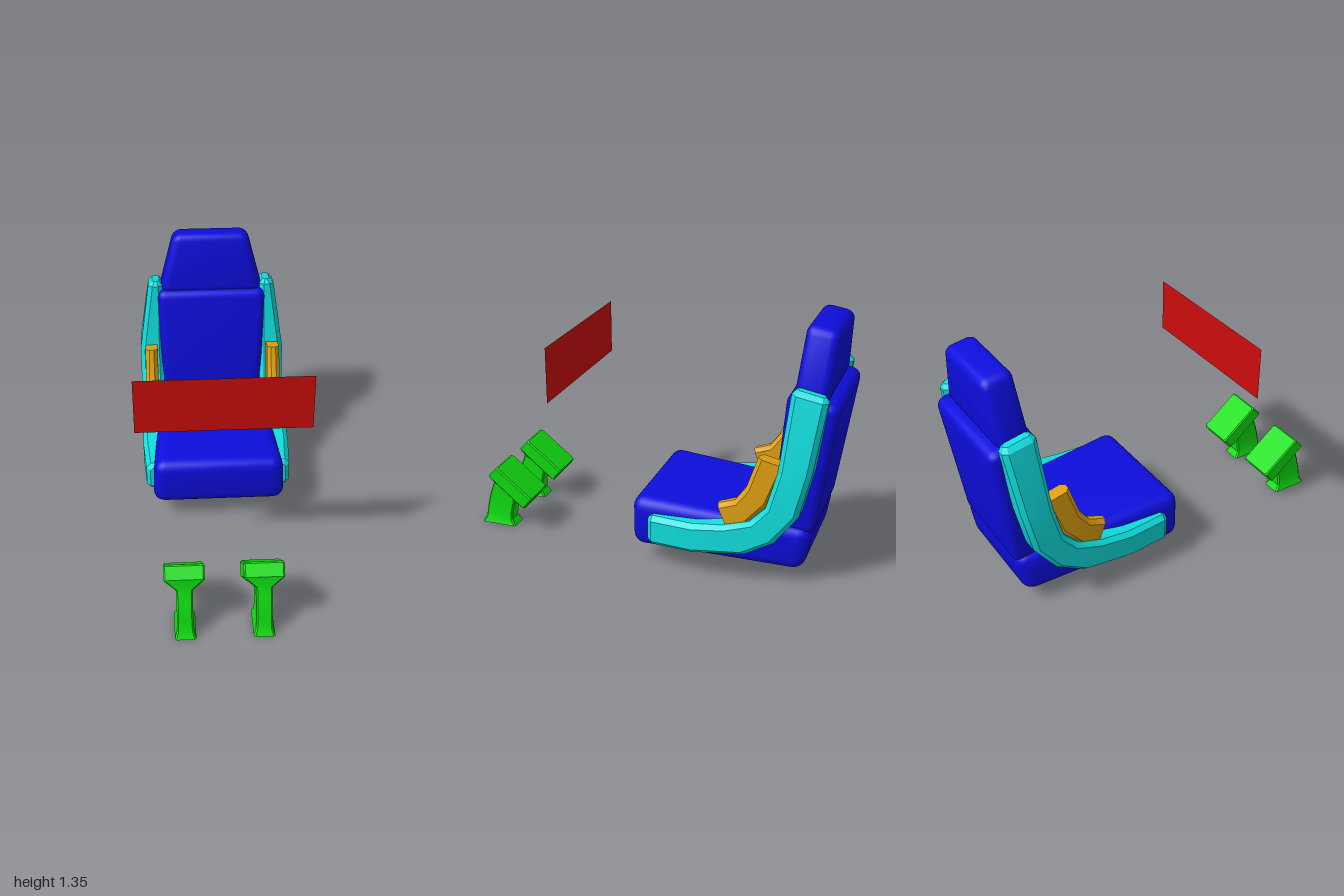
import * as THREE from 'three';
import { mergeVertices, toCreasedNormals } from 'three/addons/utils/BufferGeometryUtils.js';
import { RoundedBoxGeometry } from 'three/addons/geometries/RoundedBoxGeometry.js';

const BLUE = 0x0d0ddd, CYAN = 0x10dede, ORANGE = 0xdea010, GREEN = 0x10de10, RED = 0xcc0d0d;

function part(name, geometry, color, side = THREE.FrontSide) {
  const mesh = new THREE.Mesh(geometry, new THREE.MeshStandardMaterial({ color, side }));
  mesh.name = name;
  return mesh;
}

// Rounded box warped to a side quad: each corner is [z, y, half width]
function pad(frontTop, backTop, backBottom, frontBottom, radius) {
  const w = frontTop[2] * 2;
  const h = Math.hypot(frontTop[0] - frontBottom[0], frontTop[1] - frontBottom[1]);
  const d = Math.hypot(frontTop[0] - backTop[0], frontTop[1] - backTop[1]);
  let geo = new RoundedBoxGeometry(w, h, d, 3, radius);
  const pos = geo.attributes.position;
  const mix = THREE.MathUtils.lerp;
  for (let i = 0; i < pos.count; i++) {
    const s = pos.getX(i) / w * 2, t = pos.getY(i) / h + 0.5, f = pos.getZ(i) / d + 0.5;
    const at = k => mix(mix(backBottom[k], frontBottom[k], f), mix(backTop[k], frontTop[k], f), t);
    pos.setXYZ(i, s * at(2), at(1), at(0));
  }
  geo.deleteAttribute('uv');
  geo.deleteAttribute('normal');
  geo = mergeVertices(geo, 1e-5);
  return toCreasedNormals(geo, 0.65);
}

// Loft of chamfered rectangles; a section is [z1, y1, z2, y2, x1, x2].
// softEnds bevels the two closing faces.
function loft(sections, c, softEnds = true) {
  let rows = sections.map(s => [...s, 0]);
  if (softEnds) {
    const bevel = (end, next) => {
      const len = Math.hypot(end[0] + end[2] - next[0] - next[2], end[1] + end[3] - next[1] - next[3]) / 2;
      const inner = end.map((v, i) => v + (next[i] - v) * Math.min(0.4, c / len));
      return [[...end.slice(0, 6), c * 0.8], inner];
    };
    const n = rows.length;
    const a = bevel(rows[0], rows[1]), b = bevel(rows[n - 1], rows[n - 2]);
    rows = [...a, ...rows.slice(1, n - 1), b[1], b[0]];
  }
  const pts = [], idx = [];
  for (const [z1, y1, z2, y2, x1, x2, inset] of rows) {
    const len = Math.hypot(z2 - z1, y2 - y1), u0 = inset, u1 = len - inset;
    const a = Math.min(x1, x2) + inset, b = Math.max(x1, x2) - inset;
    const k = Math.min(c, (b - a) * 0.35);
    const ring = [[u0, a + k], [u0, b - k], [u0 + k, b], [u1 - k, b], [u1, b - k], [u1, a + k], [u1 - k, a], [u0 + k, a]];
    for (const [u, x] of ring) pts.push(x, y1 + (y2 - y1) * u / len, z1 + (z2 - z1) * u / len);
  }
  for (let r = 0; r < rows.length - 1; r++) {
    for (let i = 0; i < 8; i++) {
      const j = (i + 1) % 8, p = r * 8;
      idx.push(p + i, p + j, p + 8 + j, p + i, p + 8 + j, p + 8 + i);
    }
  }
  const last = (rows.length - 1) * 8;
  for (let i = 1; i < 7; i++) idx.push(0, i + 1, i, last, last + i, last + i + 1);

  // Turn the faces outward whichever way the sections run
  const v = i => new THREE.Vector3().fromArray(pts, i * 3);
  let volume = 0;
  for (let i = 0; i < idx.length; i += 3) volume += v(idx[i]).dot(v(idx[i + 1]).cross(v(idx[i + 2])));
  if (volume < 0) idx.reverse();
  const geo = new THREE.BufferGeometry();
  geo.setAttribute('position', new THREE.Float32BufferAttribute(pts, 3));
  geo.setIndex(idx);
  return toCreasedNormals(geo, 0.5);
}

export function createModel() {
  const model = new THREE.Group();
  model.name = 'drivingSeatRig';

  // Upholstered pads
  model.add(
    part('seatCushion', pad([0.045, 0.375, 0.36], [-0.9, 0.31, 0.31], [-0.86, 0.075, 0.31], [0.04, 0.1, 0.37], 0.065), BLUE),
    part('backrest', pad([-0.74, 1.03, 0.315], [-1.005, 0.99, 0.315], [-0.9, 0.27, 0.285], [-0.675, 0.28, 0.285], 0.05), BLUE),
    part('headrest', pad([-0.8, 1.355, 0.21], [-0.965, 1.33, 0.21], [-0.94, 0.98, 0.305], [-0.765, 1.0, 0.3], 0.045), BLUE)
  );

  // Side bolsters and the arm grips set into them
  for (const [side, s] of [['left', 1], ['right', -1]]) {
    const mirror = rows => rows.map(r => [...r.slice(0, 4), r[4] * s, r[5] * s]);
    model.add(part(side + 'Bolster', loft(mirror([
      [-0.055, 0.3, -0.055, 0.135, 0.32, 0.4],
      [-0.3, 0.3, -0.3, 0.135, 0.3, 0.418],
      [-0.46, 0.32, -0.58, 0.175, 0.29, 0.42],
      [-0.6, 0.365, -0.73, 0.265, 0.29, 0.42],
      [-0.68, 0.45, -0.85, 0.43, 0.285, 0.42],
      [-0.735, 0.65, -0.905, 0.67, 0.285, 0.42],
      [-0.775, 1.075, -0.955, 1.04, 0.28, 0.36]
    ]), 0.025), CYAN));
    model.add(part(side + 'ArmGrip', loft(mirror([
      [-0.43, 0.428, -0.485, 0.3, 0.322, 0.392],
      [-0.52, 0.462, -0.58, 0.335, 0.32, 0.394],
      [-0.575, 0.54, -0.69, 0.46, 0.32, 0.394],
      [-0.63, 0.71, -0.77, 0.68, 0.32, 0.39]
    ]), 0.022, false), ORANGE));
  }

  // Foot pedals: tilted plate, funnel neck, curved stem and flared foot
  for (const [side, x] of [['left', 0.17], ['right', -0.22]]) {
    const pedal = new THREE.Group();
    pedal.name = side + 'Pedal';
    pedal.position.x = x;
    const plate = loft([
      [0.87, 0.375, 0.662, 0.209, -0.1, 0.1],
      [0.926, 0.314, 0.717, 0.142, -0.1, 0.1]
    ], 0.008);
    const stem = loft([
      [0.92, 0.311, 0.722, 0.148, -0.095, 0.095],
      [0.922, 0.255, 0.797, 0.175, -0.042, 0.042],
      [0.95, 0.18, 0.803, 0.135, -0.04, 0.04],
      [0.97, 0.1, 0.815, 0.09, -0.04, 0.04],
      [0.98, 0.035, 0.82, 0.035, -0.042, 0.042],
      [1.0, 0, 0.797, 0, -0.053, 0.053]
    ], 0.008, false);
    pedal.add(part('pedalPlate', plate, GREEN), part('pedalStem', stem, GREEN));
    model.add(pedal);
  }

  // Thin floating display panel
  const screen = part('screen', new THREE.PlaneGeometry(0.88, 0.295), RED, THREE.DoubleSide);
  screen.position.set(0, 1.02, 0.46);
  model.add(screen);
  return model;
}
